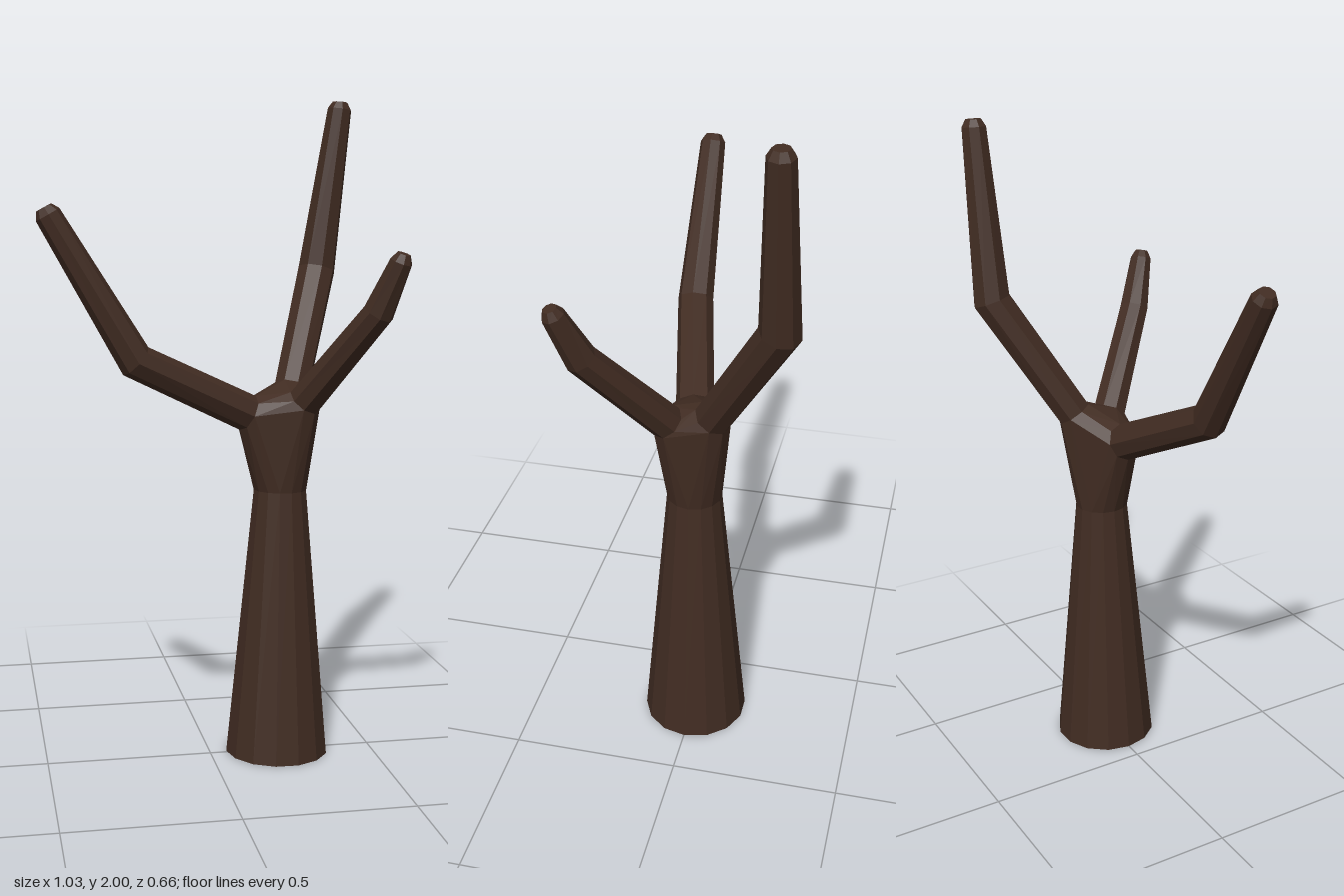
import * as THREE from 'three';
import { ConvexGeometry } from 'three/addons/geometries/ConvexGeometry.js';

const V = (x, y, z) => new THREE.Vector3(x, y, z);

// Rings of points around a path of [x, y, z, radius] stations
function makeRings(path, sides) {
  const centres = path.map(p => V(p[0], p[1], p[2]));
  return path.map((p, i) => {
    const t = V(0, 0, 0);
    if (i > 0) t.add(centres[i].clone().sub(centres[i - 1]).normalize());
    if (i < path.length - 1) t.add(centres[i + 1].clone().sub(centres[i]).normalize());
    t.normalize();
    const u = V(0, 0, 1).cross(t).normalize();
    const v = t.clone().cross(u);
    return Array.from({ length: sides }, (_, j) => {
      const a = (j / sides) * Math.PI * 2;
      return centres[i].clone()
        .addScaledVector(u, Math.cos(a) * p[3])
        .addScaledVector(v, Math.sin(a) * p[3]);
    });
  });
}

// Faceted skin over the rings, with an optional cap on the last one
function skin(rings, capped) {
  const pos = [];
  const tri = (...pts) => pts.forEach(p => pos.push(p.x, p.y, p.z));
  const n = rings[0].length;
  for (let i = 0; i < rings.length - 1; i++) {
    for (let j = 0; j < n; j++) {
      const k = (j + 1) % n;
      tri(rings[i][j], rings[i][k], rings[i + 1][k]);
      tri(rings[i][j], rings[i + 1][k], rings[i + 1][j]);
    }
  }
  if (capped) {
    const last = rings[rings.length - 1];
    for (let j = 1; j < n - 1; j++) tri(last[0], last[j], last[j + 1]);
  }
  const g = new THREE.BufferGeometry();
  g.setAttribute('position', new THREE.Float32BufferAttribute(pos, 3));
  g.computeVertexNormals();
  return g;
}

export function createModel() {
  const group = new THREE.Group();
  const bark = new THREE.MeshStandardMaterial({ color: 0x412c22, flatShading: true, side: THREE.DoubleSide });
  bark.name = 'darkBark';
  const add = (name, geometry) => {
    const mesh = new THREE.Mesh(geometry, bark);
    mesh.name = name;
    group.add(mesh);
  };

  // Tapered trunk, open underneath
  const trunk = makeRings([[0.208, 0, -0.002, 0.158], [0.215, 0.82, -0.004, 0.081]], 14);
  add('trunk', skin(trunk, false));

  // Three bent branches with bevelled tips: start, elbow, tip
  const branches = {
    rightBranch: [[0.11, 1.058, 0.018, 0.056], [-0.235, 1.225, 0.096, 0.054], [-0.48, 1.64, 0.097, 0.038], [-0.491, 1.66, 0.097, 0.024]],
    backBranch: [[0.265, 1.12, -0.07, 0.055], [0.392, 1.475, -0.273, 0.059], [0.462, 1.975, -0.275, 0.038], [0.464, 1.997, -0.275, 0.024]],
    frontBranch: [[0.275, 1.095, 0.06, 0.052], [0.44, 1.365, 0.247, 0.046], [0.487, 1.51, 0.3, 0.033], [0.493, 1.532, 0.306, 0.02]],
  };
  const forkPoints = [...trunk[1]];
  for (const [name, path] of Object.entries(branches)) {
    const rings = makeRings(path, 8);
    add(name, skin(rings, true));
    forkPoints.push(...rings[0]);
  }

  // Flared fork joining the trunk to the branch roots
  add('fork', new ConvexGeometry(forkPoints));
  return group;
}
